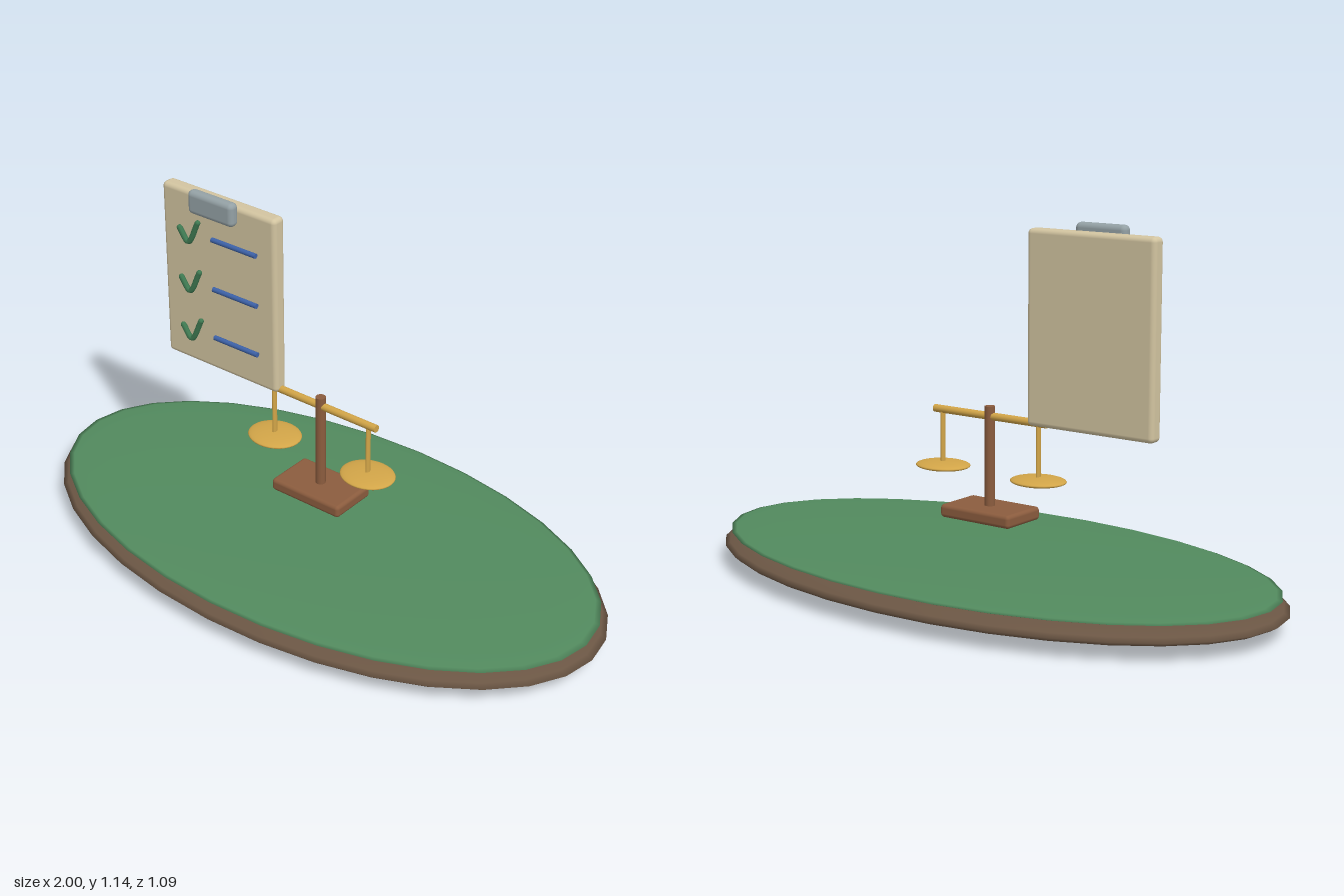
import * as THREE from 'three';
import { RoundedBoxGeometry } from 'three/addons/geometries/RoundedBoxGeometry.js';

const mat = (name, color) => {
  const m = new THREE.MeshStandardMaterial({ color });
  m.name = name;
  return m;
};

export function createModel() {
  const model = new THREE.Group();
  const rimBrown = mat('rim brown', 0x6b5644);
  const feltGreen = mat('felt green', 0x528a5e);
  const wood = mat('wood', 0x8b5c3e);
  const brass = mat('brass', 0xd2a548);
  const paper = mat('parchment', 0xd2c4a0);
  const steel = mat('steel', 0x94a1a5);
  const tickGreen = mat('tick green', 0x3f7a52);
  const ink = mat('ink blue', 0x3d62a8);

  const add = (parent, name, geo, material, x, y, z = 0) => {
    const mesh = new THREE.Mesh(geo, material);
    mesh.name = name;
    mesh.position.set(x, y, z);
    parent.add(mesh);
    return mesh;
  };
  const group = (name) => {
    const g = new THREE.Group();
    g.name = name;
    model.add(g);
    return g;
  };
  const ellipsoid = (rx, ry, rz) => new THREE.SphereGeometry(1, 32, 16).scale(rx, ry, rz);
  const rod = (r, length) => new THREE.CylinderGeometry(r, r, length, 16);

  // Oval table: two very flat ellipsoids
  const table = group('table');
  add(table, 'tableRim', ellipsoid(1, 0.06, 0.547), rimBrown, 0, 0.06);
  add(table, 'tableFelt', ellipsoid(0.977, 0.02, 0.525), feltGreen, 0, 0.103);

  // Balance scale
  const scale = group('balanceScale');
  add(scale, 'scaleBase', new RoundedBoxGeometry(0.262, 0.041, 0.163, 3, 0.012), wood, 0, 0.238);
  add(scale, 'scaleColumn', rod(0.016, 0.32), wood, 0, 0.406);
  add(scale, 'scaleBeam', rod(0.012, 0.425).rotateZ(Math.PI / 2), brass, 0, 0.535);
  for (const side of [-1, 1]) {
    add(scale, 'panHanger', rod(0.006, 0.175).scale(1, 1, 1.6), brass, side * 0.182, 0.447);
    add(scale, 'scalePan', ellipsoid(0.089, 0.013, 0.077), brass, side * 0.182, 0.36);
  }

  // Clipboard
  const board = group('clipboard');
  add(board, 'board', new RoundedBoxGeometry(0.444, 0.586, 0.049, 3, 0.015), paper, -0.375, 0.821);
  add(board, 'clip', new RoundedBoxGeometry(0.176, 0.076, 0.037, 4, 0.016), steel, -0.375, 1.098, 0.043);

  // Checklist rows: a tick and a written line each
  const tickPath = new THREE.CatmullRomCurve3([
    new THREE.Vector3(-0.033, 0.012, 0),
    new THREE.Vector3(0, -0.026, 0),
    new THREE.Vector3(0.041, 0.048, 0),
  ]);
  for (let i = 0; i < 3; i++) {
    const y = 0.988 - i * 0.168;
    const tick = add(board, 'tick', new THREE.TubeGeometry(tickPath, 20, 0.009, 8), tickGreen, -0.481, y - 0.009, 0.041);
    for (const t of [0, 1]) {
      const end = tickPath.getPoint(t);
      add(tick, 'tickEnd', new THREE.SphereGeometry(0.009, 8, 6), tickGreen, end.x, end.y, end.z);
    }
    add(board, 'textLine', rod(0.008, 0.172).rotateZ(Math.PI / 2), ink, -0.299, y, 0.04);
  }
  return model;
}
